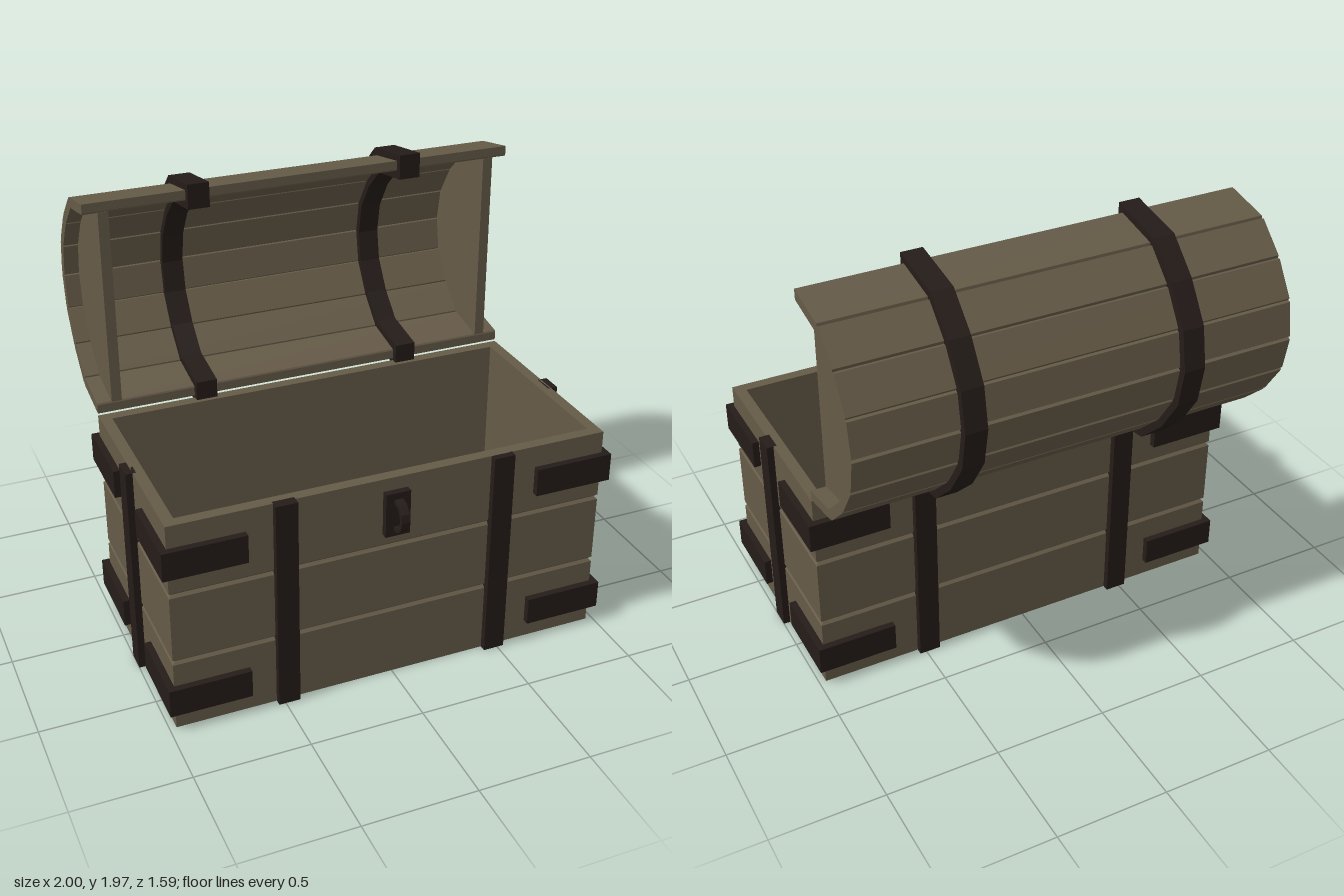
import * as THREE from 'three';

const wood = new THREE.MeshStandardMaterial({ color: 0x655a47, flatShading: true });
const iron = new THREE.MeshStandardMaterial({ color: 0x241c19, flatShading: true });

// Chest body: half width, back and front planes, wall top
const HX = 0.97, ZB = -0.28, ZF = 0.69, TOP = 0.97;
const ZC = (ZB + ZF) / 2, HZ = (ZF - ZB) / 2;
const T = 0.03;                     // iron thickness
const LID_Y = 1.457;                // height of the open lid's axis

// Half of the lid's faceted arch: [distance behind the rim, height above the axis]
const half = [[0, 0.478], [0.22, 0.437], [0.352, 0.313], [0.45, 0.162], [0.48, 0]];
const arch = [...half, ...half.slice(0, -1).reverse().map(([b, u]) => [b, -u])];
const scaled = (s) => arch.map(([b, u]) => new THREE.Vector2(b * s, u * s));

function add(group, name, geometry, material) {
  const mesh = new THREE.Mesh(geometry, material);
  mesh.name = name;
  group.add(mesh);
  return mesh;
}

// Box given by its limits on each axis
function block(group, name, material, [x0, x1], [y0, y1], [z0, z1]) {
  const mesh = add(group, name, new THREE.BoxGeometry(Math.abs(x1 - x0), y1 - y0, Math.abs(z1 - z0)), material);
  mesh.position.set((x0 + x1) / 2, (y0 + y1) / 2, (z0 + z1) / 2);
  return mesh;
}

// Side outline (distance back, height) extruded across the width
function across(points, width) {
  const geometry = new THREE.ExtrudeGeometry(new THREE.Shape(points), { depth: width, bevelEnabled: false });
  return geometry.translate(0, 0, -width / 2).rotateY(Math.PI / 2);
}

// Hollow plank walls: a four-sided lathe stretched to the rectangular plan
function wallGeometry() {
  const g = 0.012, profile = [[1, 0]];
  for (const y of [0.325, 0.648]) profile.push([1, y - g], [1 - g, y], [1, y + g]);
  profile.push([1, TOP], [0.95, TOP], [0.95, 0], [1, 0]);
  const geometry = new THREE.LatheGeometry(profile.map(([r, y]) => new THREE.Vector2(r, y)), 4, Math.PI / 4).toNonIndexed();
  const p = geometry.attributes.position;
  for (let i = 0; i < p.count; i++) {
    const inset = 1 - Math.hypot(p.getX(i), p.getZ(i));
    p.setX(i, Math.sign(p.getX(i)) * (HX - inset));
    p.setZ(i, ZC + Math.sign(p.getZ(i)) * (HZ - inset));
  }
  geometry.computeVertexNormals();
  return geometry;
}

function createBody() {
  const body = new THREE.Group();
  body.name = 'body';
  add(body, 'plankWalls', wallGeometry(), wood);
  block(body, 'floor', wood, [-HX + 0.04, HX - 0.04], [0, 0.05], [ZB + 0.04, ZF - 0.04]);

  for (const s of [-1, 1]) {
    // Upright straps
    block(body, 'frontStrap', iron, [s * 0.435, s * 0.53], [0, TOP], [ZF - 0.015, ZF + T]);
    block(body, 'backStrap', iron, [s * 0.435, s * 0.53], [0, TOP], [ZB - T, ZB + 0.015]);
    block(body, 'sideStrap', iron, [s * (HX - 0.015), s * (HX + T)], [0, TOP], [0.158, 0.253]);

    // L-shaped corner brackets, two per corner
    for (const [face, dir] of [[ZF, 1], [ZB, -1]]) {
      for (const y of [0.083, 0.743]) {
        const L = new THREE.Shape([
          [HX + T, face + dir * T], [0.645, face + dir * T], [0.645, face - dir * 0.01],
          [HX - 0.01, face - dir * 0.01], [HX - 0.01, face - dir * 0.325], [HX + T, face - dir * 0.325],
        ].map(([x, z]) => new THREE.Vector2(s * x, -z)));
        const geometry = new THREE.ExtrudeGeometry(L, { depth: 0.127, bevelEnabled: false });
        add(body, 'cornerBracket', geometry.rotateX(-Math.PI / 2).translate(0, y, 0), iron);
      }
    }
  }
  return body;
}

function createLock() {
  const lock = new THREE.Group();
  lock.name = 'lock';
  block(lock, 'lockPlate', iron, [-0.055, 0.055], [0.71, 0.912], [ZF - 0.015, ZF + T]);
  // Flat D-shaped staple
  const outer = [[0, 0.073], [0.04, 0.066], [0.07, 0.035], [0.077, 0]];
  const inner = [[0, 0.055], [0.033, 0.05], [0.053, 0.027], [0.059, 0]];
  const full = (h) => [...h, ...h.slice(0, -1).reverse().map(([d, u]) => [d, -u])];
  const outline = [...full(outer), ...full(inner).reverse()].map(([d, u]) => new THREE.Vector2(-d, u));
  add(lock, 'staple', across(outline, 0.038), iron).position.set(0, 0.81, ZF + T - 0.003);
  return lock;
}

function createLid() {
  const lid = new THREE.Group();
  lid.name = 'lid';
  lid.position.set(0, LID_Y, ZB);
  const out = scaled(1), inn = scaled(0.905);

  // Planks with chamfered long edges
  for (let i = 0; i < out.length - 1; i++) {
    const corners = [out[i], out[i + 1], inn[i + 1], inn[i]];
    const cut = (a, b, d) => a.clone().lerp(b, d / a.distanceTo(b));
    const [a, b, c, d] = corners;
    const outline = [
      cut(a, d, 0.012), cut(a, b, 0.008), cut(b, a, 0.008), cut(b, c, 0.012),
      cut(c, b, 0.006), cut(c, d, 0.004), cut(d, c, 0.004), cut(d, a, 0.006),
    ];
    // The rim planks keep a square edge
    if (i === 0) outline.splice(0, 2, a);
    if (i === out.length - 2) outline.splice(2, 2, b);
    add(lid, 'lidPlank', across(outline, 2 * HX), wood);
  }

  for (const s of [-1, 1]) {
    // End panels set in from the plank ends
    add(lid, 'lidEndPanel', across(scaled(0.907), 0.045), wood).position.x = s * 0.8825;

    // Iron bands wrapping the planks inside, outside and over both rims
    const wrap = (k) => {
      const pts = scaled(k);
      pts[0].x = pts[pts.length - 1].x = -T;
      return pts;
    };
    add(lid, 'lidStrap', across([...wrap(1.07), ...wrap(0.84).reverse()], 0.095), iron).position.x = s * 0.4825;
  }
  return lid;
}

export function createModel() {
  const chest = new THREE.Group();
  chest.name = 'openChest';
  chest.add(createBody(), createLock(), createLid());
  return chest;
}
